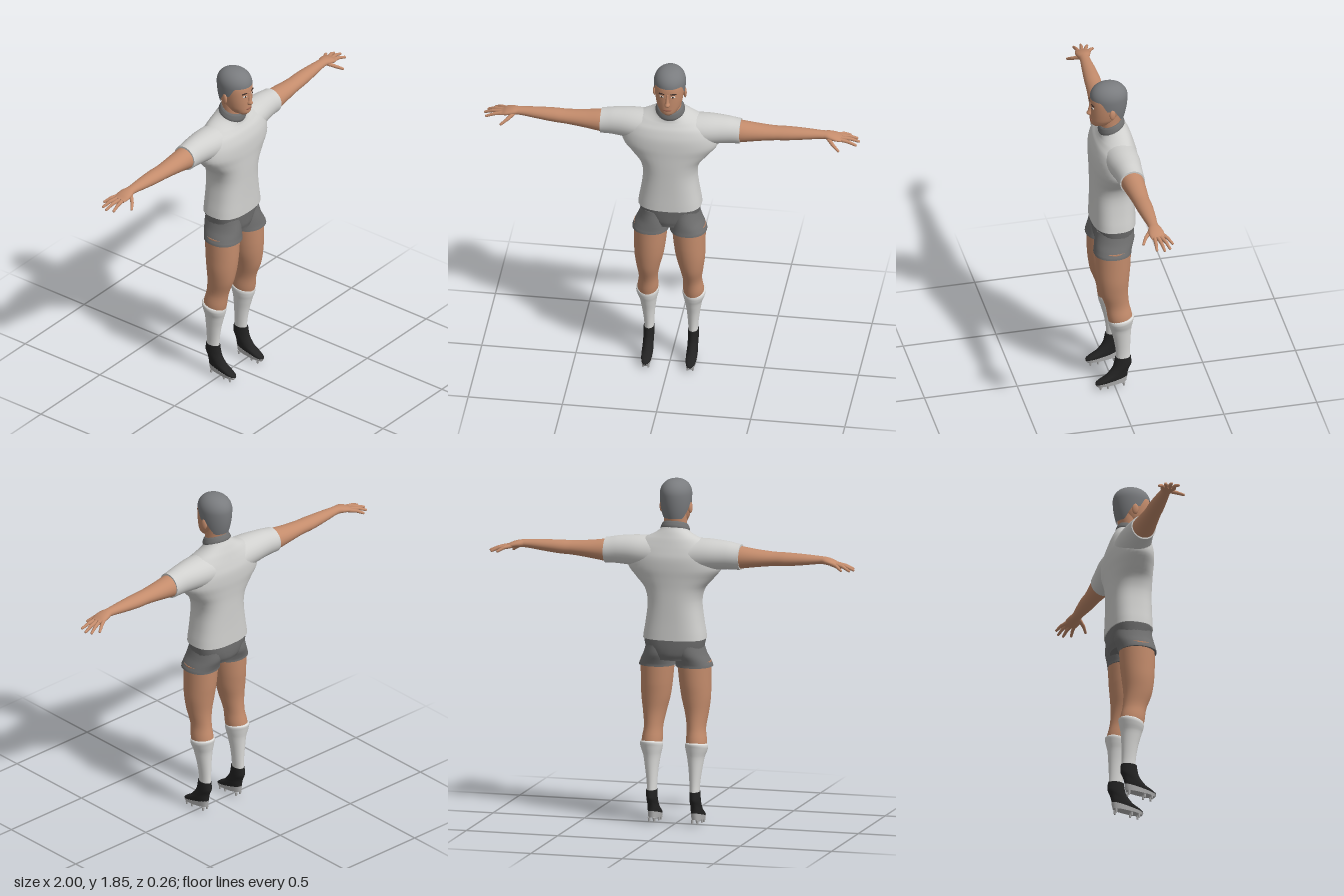
import * as THREE from 'three';
import { mergeGeometries } from 'three/addons/utils/BufferGeometryUtils.js';

const mat = (name, color) => {
  const m = new THREE.MeshStandardMaterial({ color });
  m.name = name;
  return m;
};

// Smooth closed loft. Section: [t, c1, c2, r1, r2, tilt, power]; axis y uses (x, z), axis x uses (y, z).
function loft(axis, sections, sides = 28, sub = 4) {
  const secs = sections.map(s => [...s.slice(0, 5), s[5] ?? 0, s[6] ?? 2]);
  const rings = [];
  const at = i => secs[Math.min(Math.max(i, 0), secs.length - 1)];
  for (let i = 0; i < secs.length - 1; i++) {
    for (let k = 0; k < sub; k++) {
      const t = k / sub;
      rings.push(secs[i].map((_, j) => {
        const [a, b, c, d] = [at(i - 1)[j], at(i)[j], at(i + 1)[j], at(i + 2)[j]];
        return j === 0 ? b + (c - b) * t : b + 0.5 * t * (c - a + t * (2 * a - 5 * b + 4 * c - d + t * (3 * (b - c) + d - a)));
      }));
    }
  }
  rings.push(at(secs.length));
  const pos = [], idx = [];
  const addRing = ([t, c1, c2, r1, r2, tilt, n]) => {
    for (let j = 0; j < sides; j++) {
      const a = j / sides * Math.PI * 2, c = Math.cos(a), s = Math.sin(a);
      const u = r1 * Math.sign(c) * Math.abs(c) ** (2 / n);
      const v = r2 * Math.sign(s) * Math.abs(s) ** (2 / n);
      if (axis === 'y') pos.push(c1 + u, t + tilt * v, c2 + v);
      else pos.push(t, c1 + u, c2 - v);
    }
  };
  rings.forEach(addRing);
  for (let i = 0; i < rings.length - 1; i++) {
    for (let j = 0; j < sides; j++) {
      const a = i * sides + j, b = i * sides + (j + 1) % sides;
      idx.push(a, a + sides, b, b, a + sides, b + sides);
    }
  }
  // flat end caps
  [[rings[0], false], [rings.at(-1), true]].forEach(([r, top]) => {
    const start = pos.length / 3;
    addRing(r);
    if (axis === 'y') pos.push(r[1], r[0], r[2]); else pos.push(r[0], r[1], r[2]);
    for (let j = 0; j < sides; j++) {
      const a = start + j, b = start + (j + 1) % sides, c = start + sides;
      if (top) idx.push(a, c, b); else idx.push(a, b, c);
    }
  });
  const g = new THREE.BufferGeometry();
  g.setAttribute('position', new THREE.Float32BufferAttribute(pos, 3));
  g.setIndex(idx);
  g.computeVertexNormals();
  return g;
}

function mirrored(geo) {
  const g = geo.clone().scale(-1, 1, 1), a = g.index.array;
  for (let i = 0; i < a.length; i += 3) [a[i], a[i + 1]] = [a[i + 1], a[i]];
  return g;
}

// Tapered finger through a list of points, with a rounded joint at each point.
function finger(points, r0, r1) {
  const p = points.map(q => new THREE.Vector3(...q)), parts = [];
  const rad = i => r0 + (r1 - r0) * i / (p.length - 1);
  p.forEach((q, i) => {
    parts.push(new THREE.SphereGeometry(rad(i), 10, 8).translate(q.x, q.y, q.z));
    if (!i) return;
    const d = q.clone().sub(p[i - 1]);
    const turn = new THREE.Quaternion().setFromUnitVectors(new THREE.Vector3(0, 1, 0), d.clone().normalize());
    const mid = q.clone().add(p[i - 1]).multiplyScalar(0.5);
    parts.push(new THREE.CylinderGeometry(rad(i), rad(i - 1), d.length(), 10, 1, true).applyQuaternion(turn).translate(mid.x, mid.y, mid.z));
  });
  return mergeGeometries(parts);
}

// Hair: a dome that runs down to a hairline, high at the brow and low at the nape.
function hairCap(sides = 48, rows = 20) {
  const pos = [], idx = [];
  for (let i = 0; i <= rows; i++) {
    for (let j = 0; j < sides; j++) {
      const a = j / sides * Math.PI * 2, s = Math.sin(a), v = i / rows;
      const edge = s > 0.55 ? 1.768 : s > -0.15 ? 1.768 - 0.055 * Math.min(1, (0.55 - s) / 0.3) : 1.713 - 0.07 * Math.min(1, (-0.15 - s) / 0.5);
      const phi = Math.min(v / 0.6, 1) * Math.PI / 2;
      let y = 1.768 + 0.078 * Math.cos(phi), r = Math.sin(phi) ** 0.85;
      if (v > 0.6) {
        y = 1.768 + (edge - 1.768) * (v - 0.6) / 0.4;
        r = 1 - 12 * (1.768 - y) ** 2;
      }
      pos.push(0.084 * r * Math.cos(a), y, 0.007 + 0.1 * r * s);
      if (i < rows) {
        const p = i * sides + j, q = i * sides + (j + 1) % sides;
        idx.push(p, q, p + sides, q, q + sides, p + sides);
      }
    }
  }
  const g = new THREE.BufferGeometry();
  g.setAttribute('position', new THREE.Float32BufferAttribute(pos, 3));
  g.setIndex(idx);
  g.computeVertexNormals();
  return g;
}

const blob = (x, y, z, rx, ry, rz, turn = 0) =>
  new THREE.SphereGeometry(1, 16, 12).scale(rx, ry, rz).rotateY(turn).translate(x, y, z);

export function createModel() {
  const model = new THREE.Group();
  const skin = mat('skin', 0xc48c6c), shirt = mat('shirt cloth', 0xd0d0ce), shorts = mat('shorts cloth', 0x707070);
  const hair = mat('hair', 0x7a7c7f), sock = mat('sock', 0xdcdcda), boot = mat('boot', 0x232323), sole = mat('sole', 0xb4b4b4);
  const white = mat('eye white', 0xe4e0da), dark = mat('brow', 0x3c2c26), lip = mat('lip', 0x9c6250);
  hair.side = THREE.DoubleSide;
  const add = (name, geo, material) => {
    const m = new THREE.Mesh(geo, material);
    m.name = name;
    model.add(m);
  };
  const pair = (name, geo, material) => {
    add(name + 'Left', geo, material);
    add(name + 'Right', mirrored(geo), material);
  };

  // head and face
  add('neck', loft('y', [[1.53, 0, -0.012, 0.062, 0.058], [1.6, 0, -0.002, 0.06, 0.056], [1.68, 0, -0.01, 0.06, 0.062]]), skin);
  add('head', loft('y', [
    [1.597, 0, 0.068, 0.022, 0.022], [1.612, 0, 0.047, 0.046, 0.058], [1.645, 0, 0.031, 0.065, 0.076],
    [1.7, 0, 0.02, 0.075, 0.086, 0, 2.2], [1.76, 0, 0.012, 0.078, 0.092, 0, 2.2], [1.8, 0, 0.01, 0.068, 0.078], [1.825, 0, 0.01, 0.035, 0.04]]), skin);
  add('nose', loft('y', [[1.662, 0, 0.102, 0.011, 0.014], [1.673, 0, 0.106, 0.015, 0.021], [1.69, 0, 0.102, 0.01, 0.018], [1.735, 0, 0.1, 0.007, 0.01]], 14), skin);
  add('mouth', blob(0, 1.638, 0.104, 0.022, 0.006, 0.005), lip);
  add('hair', hairCap(), hair);
  pair('ear', blob(0.08, 1.695, 0.004, 0.009, 0.03, 0.017, 0.25), skin);
  pair('eye', blob(0.03, 1.72, 0.1, 0.013, 0.005, 0.004, 0.25), white);
  pair('pupil', blob(0.03, 1.72, 0.103, 0.005, 0.005, 0.003, 0.25), dark);
  pair('brow', blob(0.031, 1.737, 0.099, 0.018, 0.004, 0.005, 0.25), dark);

  // shirt
  add('collar', loft('y', [
    [1.568, 0, -0.008, 0.075, 0.068, -0.38], [1.582, 0, -0.006, 0.078, 0.07, -0.38],
    [1.603, 0, -0.003, 0.07, 0.064, -0.38], [1.61, 0, -0.003, 0.064, 0.059, -0.38]]), shorts);
  add('shirtBody', loft('y', [
    [1.0, 0, -0.01, 0.168, 0.117, 0, 2.6], [1.1, 0, -0.01, 0.152, 0.115, 0, 2.6], [1.2, 0, -0.01, 0.143, 0.115, 0, 2.5],
    [1.27, 0, -0.01, 0.162, 0.116, 0, 2.4], [1.33, 0, -0.012, 0.215, 0.118, 0, 2.2], [1.38, 0, -0.014, 0.253, 0.12, 0, 2.2],
    [1.44, 0, -0.016, 0.25, 0.117, 0, 2.2], [1.49, 0, -0.018, 0.225, 0.102, 0, 2.2], [1.53, 0, -0.02, 0.17, 0.085, -0.1],
    [1.557, 0, -0.015, 0.105, 0.074, -0.25], [1.58, 0, -0.008, 0.074, 0.066, -0.38]], 40), shirt);
  pair('sleeve', loft('x', [
    [0.1, 1.45, -0.025, 0.09, 0.095], [0.2, 1.458, -0.03, 0.083, 0.088], [0.3, 1.459, -0.035, 0.074, 0.073],
    [0.37, 1.453, -0.037, 0.068, 0.067]]), shirt);

  // arms and hands
  pair('arm', loft('x', [
    [0.35, 1.452, -0.037, 0.061, 0.062], [0.45, 1.453, -0.04, 0.048, 0.054], [0.55, 1.455, -0.042, 0.038, 0.045],
    [0.62, 1.457, -0.045, 0.036, 0.043], [0.72, 1.461, -0.047, 0.029, 0.035], [0.81, 1.464, -0.048, 0.021, 0.027],
    [0.84, 1.462, -0.05, 0.02, 0.036], [0.875, 1.455, -0.052, 0.017, 0.041], [0.905, 1.447, -0.055, 0.011, 0.036]], 24), skin);
  const tips = [
    [[0.875, 1.452, -0.08], [0.91, 1.445, -0.103], [0.94, 1.428, -0.122]],
    [[0.89, 1.45, -0.068], [0.94, 1.442, -0.087], [0.978, 1.424, -0.1]],
    [[0.895, 1.449, -0.053], [0.95, 1.44, -0.063], [0.992, 1.424, -0.069]],
    [[0.89, 1.449, -0.036], [0.94, 1.44, -0.033], [0.98, 1.425, -0.029]],
    [[0.835, 1.455, -0.028], [0.865, 1.435, 0.004], [0.895, 1.415, 0.024]]];
  pair('fingers', mergeGeometries(tips.map(p => finger(p, 0.0115, 0.007))), skin);

  // shorts
  add('shortsTop', loft('y', [
    [0.89, 0, -0.01, 0.12, 0.095], [0.92, 0, -0.012, 0.15, 0.105], [0.96, 0, -0.012, 0.157, 0.109, 0, 2.4], [1.012, 0, -0.01, 0.165, 0.112, 0, 2.6]]), shorts);
  pair('shortsLeg', loft('y', [
    [0.85, 0.1, 0.01, 0.098, 0.1, 0, 2.2], [0.87, 0.097, 0.007, 0.094, 0.1, 0, 2.2], [0.92, 0.085, -0.004, 0.083, 0.106], [0.98, 0.078, -0.008, 0.074, 0.1]]), shorts);

  // legs, socks and boots
  pair('leg', loft('y', [
    [0.4, 0.122, -0.03, 0.05, 0.062], [0.45, 0.121, -0.025, 0.055, 0.066], [0.52, 0.117, -0.012, 0.05, 0.064], [0.6, 0.115, 0.005, 0.062, 0.075],
    [0.68, 0.11, 0.009, 0.077, 0.085], [0.76, 0.105, 0.008, 0.084, 0.092], [0.88, 0.1, 0.006, 0.09, 0.095]]), skin);
  pair('sock', loft('y', [
    [0.16, 0.117, -0.045, 0.025, 0.038], [0.22, 0.117, -0.043, 0.027, 0.038], [0.3, 0.119, -0.038, 0.035, 0.045],
    [0.37, 0.12, -0.031, 0.046, 0.056], [0.415, 0.123, -0.031, 0.059, 0.066, -0.15], [0.435, 0.123, -0.032, 0.06, 0.068, -0.15],
    [0.442, 0.123, -0.032, 0.054, 0.062, -0.15]]), sock);
  pair('boot', loft('y', [
    [0.048, 0.118, 0.02, 0.028, 0.086, -0.25, 2.5], [0.065, 0.118, 0.016, 0.029, 0.084, -0.3, 2.5], [0.095, 0.118, -0.012, 0.028, 0.066, -0.35],
    [0.13, 0.118, -0.036, 0.028, 0.052, -0.2], [0.16, 0.118, -0.042, 0.028, 0.046], [0.185, 0.118, -0.043, 0.028, 0.043]]), boot);
  pair('sole', loft('y', [
    [0.026, 0.118, 0.02, 0.026, 0.08, -0.12, 2.5], [0.05, 0.118, 0.02, 0.029, 0.087, -0.25, 2.5]], 28, 1), sole);
  const studs = [];
  for (const [z, y] of [[0.08, 0.011], [0.04, 0.014], [-0.045, 0.022]]) {
    for (const x of [0.104, 0.132]) studs.push(new THREE.CylinderGeometry(0.008, 0.005, 0.022, 10).translate(x, y, z));
  }
  pair('studs', mergeGeometries(studs), sole);
  return model;
}
